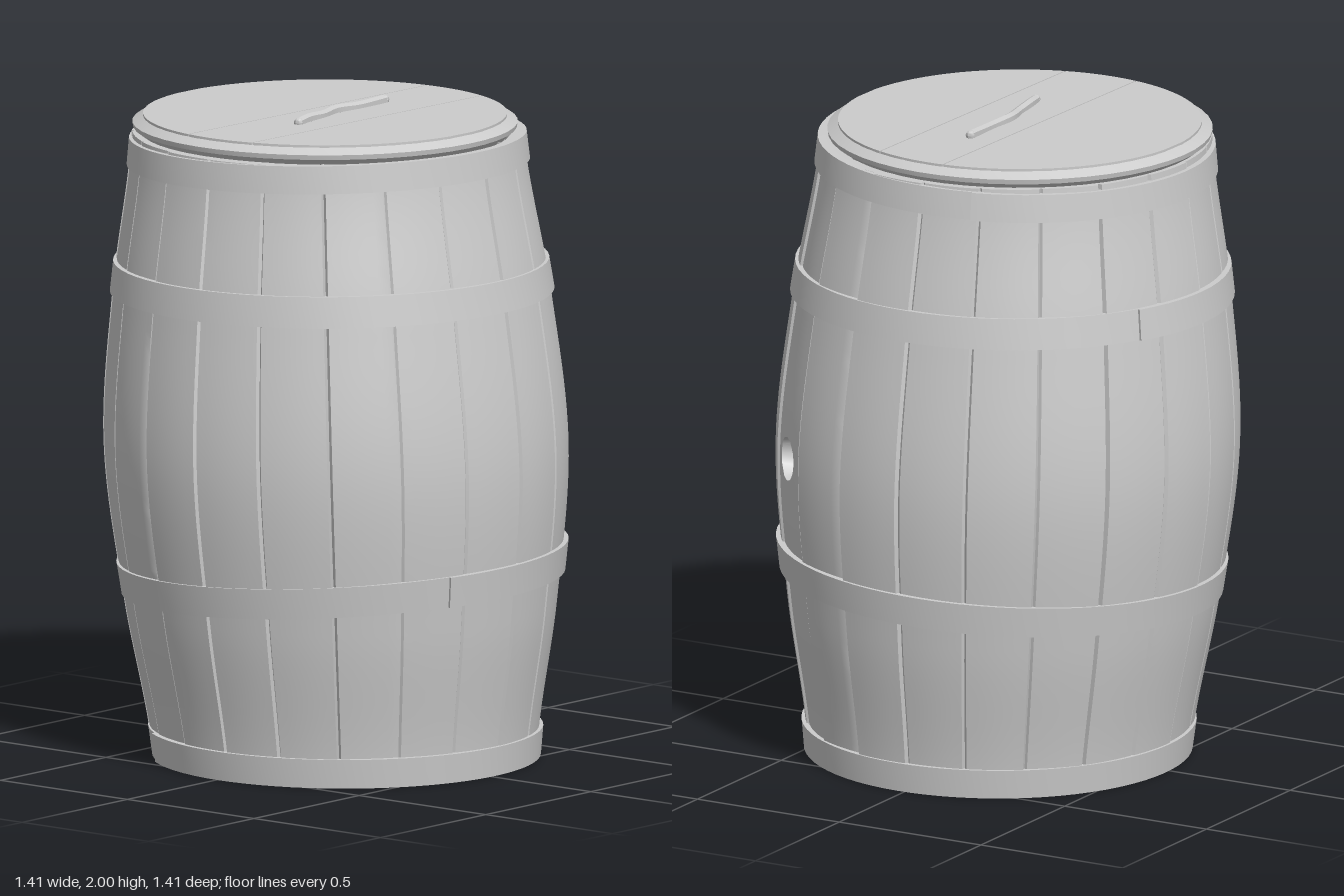
import * as THREE from 'three';
import { toCreasedNormals } from 'three/addons/utils/BufferGeometryUtils.js';

const material = new THREE.MeshStandardMaterial({ color: 0xcccccc, side: THREE.DoubleSide });
const TOP = 1.92, STAVES = 20, ROWS = 52;
const STAVE_ANGLE = Math.PI * 2 / STAVES;
const HOLE_ANGLE = -47 * Math.PI / 180, HOLE_Y = TOP / 2;

// Seeded random numbers in [-1, 1]
function makeRandom(seed) {
  return () => {
    seed = (seed * 16807) % 2147483647;
    return seed / 1073741823.5 - 1;
  };
}

// Bulging barrel radius at evenly spaced heights
const bulge = new THREE.SplineCurve(
  [0.58, 0.655, 0.703, 0.662, 0.592].map((r, i) => new THREE.Vector2(i, r)));
const radius = y => bulge.getPoint(THREE.MathUtils.clamp(y / TOP, 0, 1)).y;

// Point on the slightly leaning barrel, t outward from its surface
function onBarrel(a, y, t) {
  const r = radius(y) + t;
  return [0.015 - 0.02 * y + r * Math.cos(a), y, -0.02 + 0.018 * y + r * Math.sin(a)];
}

// Surface from a grid of points: columns run around, rows run up
function gridGeometry(cols, rows, point) {
  const positions = [], index = [];
  for (let i = 0; i <= cols; i++) {
    for (let j = 0; j <= rows; j++) {
      positions.push(...point(i, j));
      if (i < cols && j < rows) {
        const a = i * (rows + 1) + j, d = a + rows + 1;
        index.push(a, a + 1, d + 1, a, d + 1, d);
      }
    }
  }
  const g = new THREE.BufferGeometry();
  g.setAttribute('position', new THREE.Float32BufferAttribute(positions, 3));
  g.setIndex(index);
  return g;
}

function addMesh(group, name, geometry, crease = 0.6) {
  const mesh = new THREE.Mesh(toCreasedNormals(geometry, crease), material);
  mesh.name = name;
  group.add(mesh);
  return mesh;
}

// Staves with narrow grooves, uneven faces, end rims and a bung hole
function stavesGeometry() {
  const random = makeRandom(71);
  const staves = Array.from({ length: STAVES }, () => ({ offset: random() * 0.004, skew: random() * 0.012 }));
  const fractions = [0, 0.035, 0.19, 0.35, 0.5, 0.65, 0.81, 0.965];
  const rows = [[0.03, -0.05], [0, -0.05]];
  for (let j = 0; j <= ROWS; j++) rows.push([TOP * j / ROWS, 0]);
  rows.push([TOP, -0.04], [1.84, -0.04]);

  return gridGeometry(STAVES * 8, rows.length - 1, (i, j) => {
    const s = Math.floor(i / 8) % STAVES, c = i % 8, f = fractions[c];
    let a = HOLE_ANGLE + (Math.floor(i / 8) + f - 0.5) * STAVE_ANGLE;
    let [y, t] = rows[j];
    t += c === 0 ? -0.01 : staves[s].offset + (f - 0.5) * staves[s].skew;

    // Square rings of the grid become the round rim, wall and floor of the hole
    const u = (c - 4) / 3, v = (j - 2 - ROWS / 2) / 3;
    const m = Math.max(Math.abs(u), Math.abs(v));
    if (s === 0 && c > 0 && m < 0.9) {
      const turn = Math.atan2(v, u);
      const r = m > 0.5 ? 0.068 : m > 0.2 ? 0.06 : 0;
      a = HOLE_ANGLE + r * Math.cos(turn) / radius(HOLE_Y);
      y = HOLE_Y + r * Math.sin(turn);
      if (m < 0.5) t -= 0.1;
    }
    return onBarrel(a, y, t);
  });
}

// Band that thickens around the barrel and ends in a small overlap step
function hoopGeometry({ y0, y1, tiltX, tiltZ, start }) {
  const n = 72, inside = -0.015;
  return gridGeometry(n + 1, 3, (i, j) => {
    const k = Math.min(i, n) / n, a = start + k * Math.PI * 2;
    const t = i > n || j === 0 || j === 3 ? inside : 0.008 + 0.009 * k;
    const y = (j < 2 ? y0 : y1) + tiltX * Math.cos(a) + tiltZ * Math.sin(a);
    return onBarrel(a, Math.max(y, 0), t);
  });
}

// Slice of a disc between two parallel cuts
function plankGeometry(r, x0, x1, depth) {
  const n = 24, points = [];
  const x = i => x0 + (x1 - x0) * (1 - Math.cos(Math.PI * i / n)) / 2;
  const z = v => Math.sqrt(Math.max(r * r - v * v, 0));
  for (let i = 0; i <= n; i++) points.push(new THREE.Vector2(x(i), -z(x(i))));
  for (let i = n; i >= 0; i--) points.push(new THREE.Vector2(x(i), z(x(i))));
  const g = new THREE.ExtrudeGeometry(new THREE.Shape(points), { depth, bevelEnabled: false });
  return g.rotateX(-Math.PI / 2);
}

export function createModel() {
  const barrel = new THREE.Group();
  barrel.name = 'barrel';

  addMesh(barrel, 'staves', stavesGeometry());

  const bottom = addMesh(barrel, 'bottomBoard', new THREE.CylinderGeometry(0.55, 0.55, 0.02, 48));
  bottom.position.set(0.015, 0.035, -0.02);

  // Four hoops, the upper three set a little crooked
  const hoops = [
    { name: 'bottomHoop', y0: 0, y1: 0.09, tiltX: 0, tiltZ: 0, start: 2.2 },
    { name: 'lowerHoop', y0: 0.535, y1: 0.63, tiltX: 0.032, tiltZ: -0.018, start: 0.37 },
    { name: 'upperHoop', y0: 1.435, y1: 1.53, tiltX: 0.004, tiltZ: -0.003, start: 3.56 },
    { name: 'topHoop', y0: 1.83, y1: 1.915, tiltX: 0.014, tiltZ: 0, start: 4.4 },
  ];
  for (const h of hoops) addMesh(barrel, h.name, hoopGeometry(h));

  // Lid with a bevelled edge, plank top and a crooked wooden grip
  const lid = new THREE.Group();
  lid.name = 'lid';
  lid.position.set(-0.04, 0, 0.012);
  lid.rotation.y = -0.03;
  barrel.add(lid);

  const edge = [[0, 1.9], [0.545, 1.9], [0.56, 1.92], [0.583, 1.937], [0.586, 1.952], [0.553, 1.97], [0, 1.97]];
  addMesh(lid, 'lidBoard', new THREE.LatheGeometry(edge.map(p => new THREE.Vector2(...p)), 48), 0.4);

  const cuts = [-0.553, -0.07, 0.17, 0.553];
  for (let i = 0; i < 3; i++) {
    const plank = addMesh(lid, 'lidPlank', plankGeometry(0.553, cuts[i] + 0.002, cuts[i + 1] - 0.002, 0.008));
    plank.position.y = 1.969;
  }

  const path = new THREE.CatmullRomCurve3([
    [0.02, -0.25], [0.025, -0.12], [0.022, -0.02], [0.042, 0.06], [0.055, 0.14], [0.07, 0.2],
  ].map(([x, z], i) => new THREE.Vector3(x, 1.985 - (i % 2) * 0.003, z)));
  addMesh(lid, 'lidGrip', new THREE.TubeGeometry(path, 24, 0.015, 6), 0.4);
  for (const end of [0, 1]) {
    const cap = addMesh(lid, 'lidGripEnd', new THREE.SphereGeometry(0.015, 8, 6));
    cap.position.copy(path.getPoint(end));
  }

  return barrel;
}
